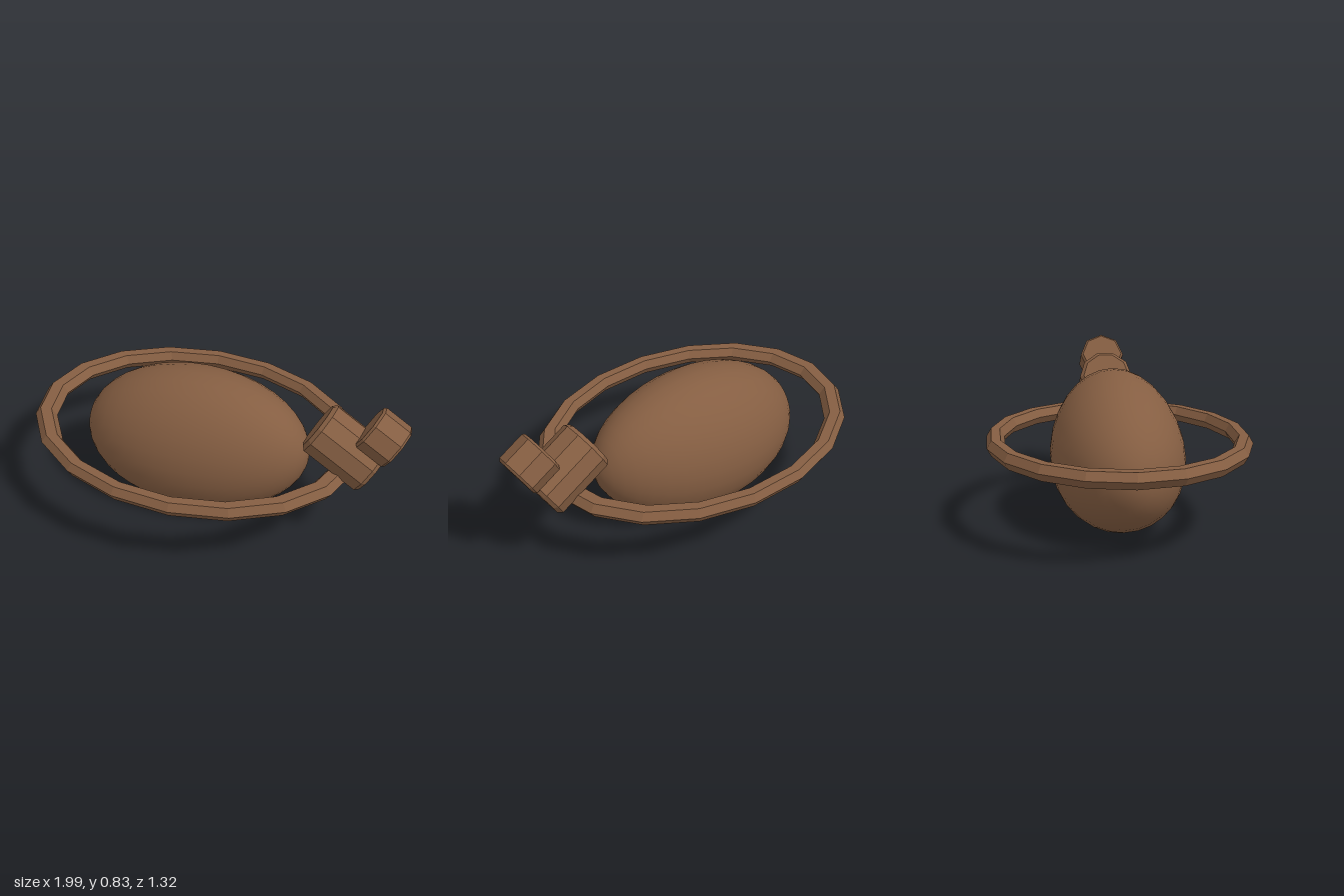
import * as THREE from 'three';
import { mergeVertices } from 'three/addons/utils/BufferGeometryUtils.js';

// Faceted drum with chamfered rims, centred on its own axis (y)
function chamferedDrum(radius, length, chamfer, sides) {
  const h = length / 2;
  const profile = [
    [0, -h], [radius - chamfer, -h], [radius, -h + chamfer],
    [radius, h - chamfer], [radius - chamfer, h], [0, h],
  ].map(([x, y]) => new THREE.Vector2(x, y));
  return new THREE.LatheGeometry(profile, sides);
}

// Smooth egg: a sphere lying along x, narrower towards +x and towards the top
function eggBody() {
  let geo = new THREE.SphereGeometry(1, 28, 20);
  geo.rotateZ(Math.PI / 2);
  geo.deleteAttribute('uv');
  geo.deleteAttribute('normal');
  geo = mergeVertices(geo, 1e-4);
  const p = geo.attributes.position;
  for (let i = 0; i < p.count; i++) {
    const u = p.getX(i), v = p.getY(i), w = p.getZ(i);
    p.setXYZ(
      i,
      -0.123 + 0.607 * u,
      0.391 + 0.04 * u + 0.386 * v,
      -0.01 * (1 - u * u) - 0.015 * u * (1 - Math.abs(u)) * 0.5 + 0.335 * w * (1 - 0.07 * u) * (1 - 0.06 * v)
    );
  }
  geo.computeVertexNormals();
  return geo;
}

export function createModel() {
  const group = new THREE.Group();
  const smoothBrown = new THREE.MeshStandardMaterial({ color: 0x855e42 });
  smoothBrown.name = 'brown';

  const add = (name, geo, x = 0, y = 0, z = 0) => {
    const mesh = new THREE.Mesh(geo, smoothBrown);
    mesh.name = name;
    mesh.position.set(x, y, z);
    group.add(mesh);
    return mesh;
  };
  // Unshared vertices give flat facets while keeping a single material
  const faceted = (geo) => {
    const flat = geo.toNonIndexed();
    flat.computeVertexNormals();
    return flat;
  };

  add('body', eggBody());

  // Oval hoop with a hexagonal section around the body
  const hoop = new THREE.TorusGeometry(0.624, 0.046, 6, 18);
  hoop.rotateX(Math.PI / 2);
  hoop.scale(1.3, 1, 1);
  add('hoop', faceted(hoop), -0.129, 0.44, 0);

  // Head and snout share one downward tilt
  const tilt = THREE.MathUtils.degToRad(-120.5);
  add('head', faceted(chamferedDrum(0.143, 0.35, 0.02, 10)), 0.678, 0.565, 0).rotation.z = tilt;
  add('snout', faceted(chamferedDrum(0.12, 0.175, 0.012, 8)), 0.864, 0.687, 0).rotation.z = tilt;

  return group;
}
